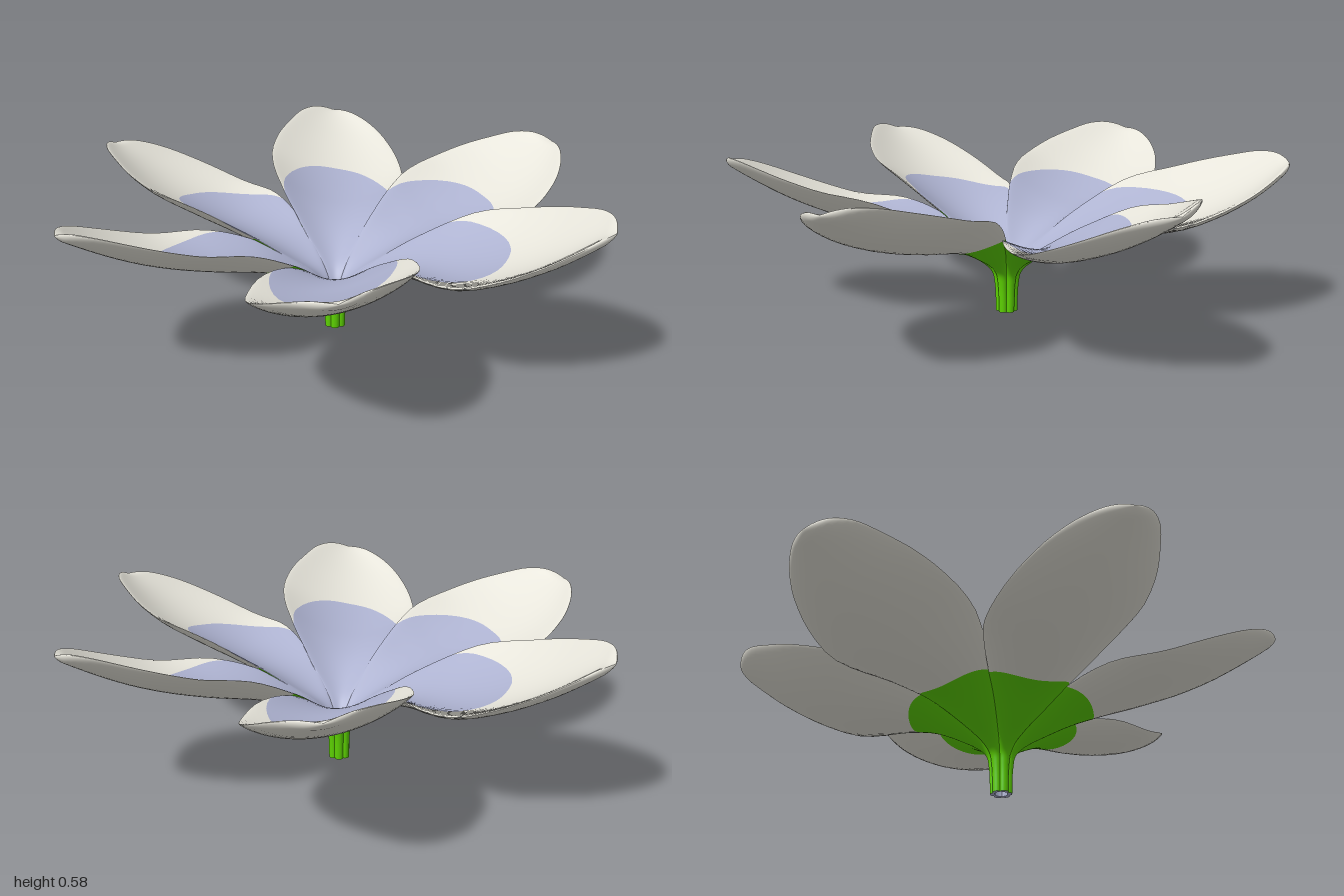
import * as THREE from 'three';

const cream = new THREE.MeshStandardMaterial({ color: 0xe6e4da });
cream.name = 'cream';
const lavender = new THREE.MeshStandardMaterial({ color: 0xadb2d0 });
lavender.name = 'lavender';
const green = new THREE.MeshStandardMaterial({ color: 0x5dd200 });
green.name = 'green';

// Petal spine from stem foot to tip: (radius, height, half width)
const SPINE = [
  [0.031, 0, 0.0155], [0.035, 0.1, 0.0175], [0.045, 0.15, 0.0235], [0.078, 0.188, 0.041],
  [0.145, 0.228, 0.08], [0.25, 0.277, 0.14], [0.36, 0.307, 0.2], [0.48, 0.331, 0.248],
  [0.62, 0.37, 0.266], [0.75, 0.418, 0.245], [0.85, 0.466, 0.203], [0.93, 0.511, 0.148],
  [0.98, 0.541, 0.083], [1.0, 0.553, 0],
];
const LAST = SPINE.length - 1;
// Squared widths keep the tip round
const spine = new THREE.CatmullRomCurve3(SPINE.map(([r, y, w]) => new THREE.Vector3(r, y, w * w)));

// Point of the petal: v = spine index, s = -1..1 across, side = 1 upper, -1 lower
function petalPoint(v, s, side) {
  const t = THREE.MathUtils.clamp(v / LAST, 0, 1);
  const p = spine.getPoint(t);
  const d = spine.getTangent(t);
  const len = Math.hypot(d.x, d.y) || 1;
  const w = Math.sqrt(Math.max(p.z, 0));
  const thick = 0.012 * Math.min(1, w / 0.09 + (v < 6 ? 0.5 : 0)) * Math.sqrt(Math.max(0, 1 - s ** 4));
  const cup = 0.38 - 0.12 * THREE.MathUtils.smoothstep(p.x, 0.4, 0.66);
  const lift = cup * w * s * s + side * thick;
  const ramp = THREE.MathUtils.smoothstep(p.x, 0.15, 0.6);
  const z = w * s + 0.015 * ramp * (1 - THREE.MathUtils.smoothstep(p.x, 0.85, 1));
  return [p.x - (d.y / len) * lift, p.y + (d.x / len) * lift - 0.19 * z * ramp, z];
}

// Grid of points; rows run along the first parameter, columns across the petal
function grid(rows, cols, point, flip, split) {
  const pos = [], index = [];
  for (let i = 0; i <= rows; i++) {
    for (let j = 0; j <= cols; j++) {
      pos.push(...point(i, Math.sin((j / cols - 0.5) * Math.PI)));
    }
  }
  for (let i = 0; i < rows; i++) {
    for (let j = 0; j < cols; j++) {
      const a = i * (cols + 1) + j, b = a + 1, c = a + cols + 1, e = c + 1;
      if (flip) index.push(a, c, b, b, c, e);
      else index.push(a, b, c, b, e, c);
    }
  }
  const geo = new THREE.BufferGeometry();
  geo.setAttribute('position', new THREE.Float32BufferAttribute(pos, 3));
  geo.setIndex(index);
  if (split) {
    geo.addGroup(0, split * cols * 6, 0);
    geo.addGroup(split * cols * 6, (rows - split) * cols * 6, 1);
  }
  geo.computeVertexNormals();
  return geo;
}

// One face of the petal, with a row of the grid following the colour border
function petalFace(side, border) {
  const inner = 32, outer = 28;
  return grid(inner + outer, 28, (i, s) => {
    const b = border(Math.abs(s));
    const v = i <= inner ? (b * i) / inner : b + (LAST - b) * Math.sin(((i - inner) / outer) * Math.PI / 2);
    return petalPoint(v, s, side);
  }, side < 0, inner);
}

export function createModel() {
  const flower = new THREE.Group();
  flower.name = 'flower';

  const upper = petalFace(1, (s) => 8.28 - 2.3 * s ** 2.7);
  const lower = petalFace(-1, (s) => 5.75 - 0.6 * s ** 3);
  const foot = grid(2, 28, (i, s) => petalPoint(0, s, i - 1), false);

  for (let k = 0; k < 6; k++) {
    const petal = new THREE.Group();
    petal.name = `petal${k + 1}`;
    const parts = [
      ['petalUpperFace', upper, [lavender, cream]],
      ['petalLowerFace', lower, [green, cream]],
      ['stemFoot', foot, lavender],
    ];
    for (const [name, geo, mat] of parts) {
      const mesh = new THREE.Mesh(geo, mat);
      mesh.name = name;
      petal.add(mesh);
    }
    petal.rotation.y = (k * Math.PI) / 3;
    flower.add(petal);
  }
  return flower;
}
